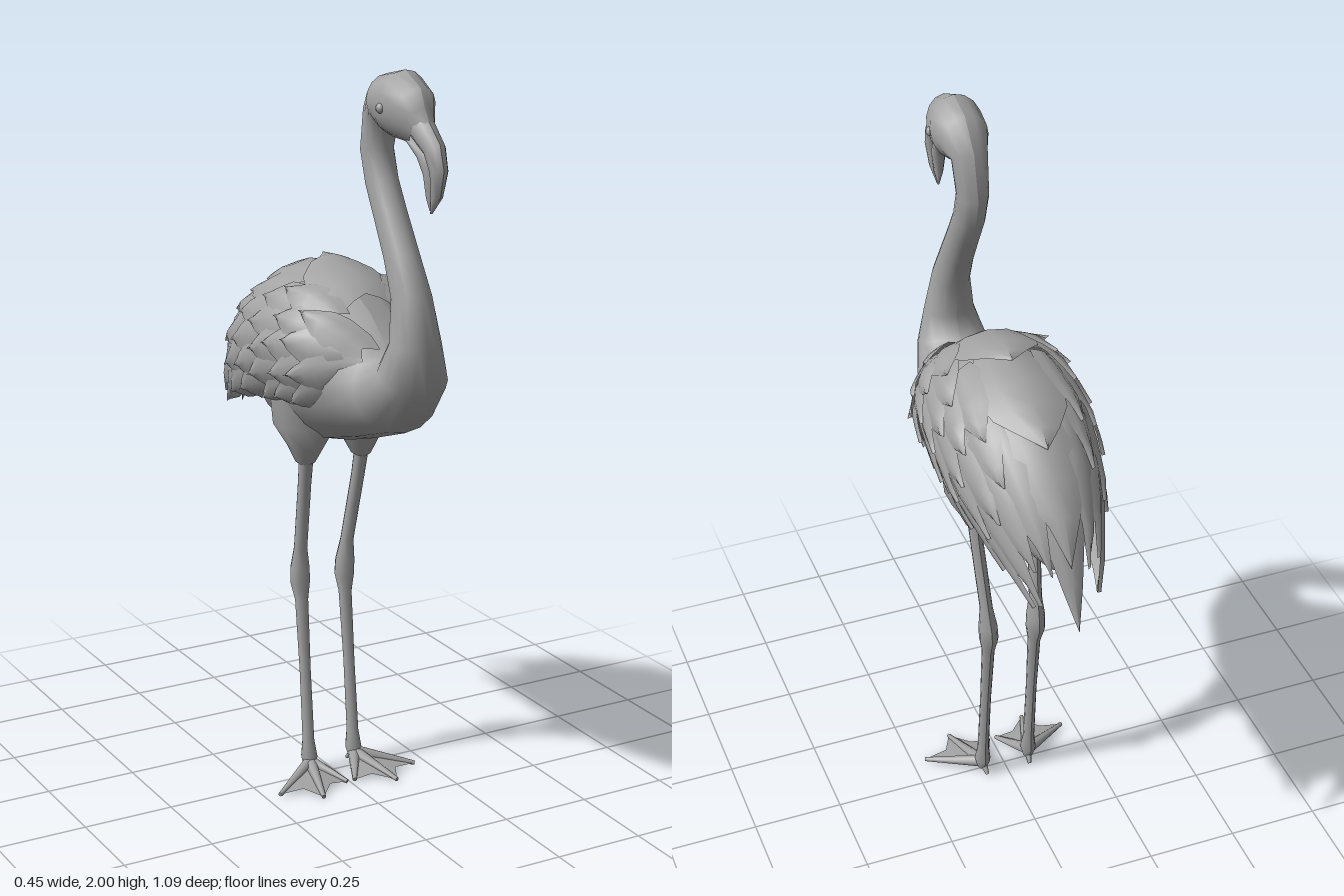
import * as THREE from 'three';

const plumage = new THREE.MeshStandardMaterial({ color: 0xa3a3a3, side: THREE.DoubleSide });
plumage.name = 'plain grey';

function add(parent, name, geometry) {
  const mesh = new THREE.Mesh(geometry, plumage);
  mesh.name = name;
  parent.add(mesh);
  return mesh;
}

// Grid of points (rows x columns) to a smooth surface
function surface(rows) {
  const n = rows[0].length, index = [];
  for (let i = 0; i < rows.length - 1; i++) {
    for (let j = 0; j < n - 1; j++) {
      const a = i * n + j, c = a + n;
      index.push(a, a + 1, c, a + 1, c + 1, c);
    }
  }
  const g = new THREE.BufferGeometry();
  g.setAttribute('position', new THREE.Float32BufferAttribute(rows.flat(2), 3));
  g.setIndex(index);
  g.computeVertexNormals();
  return g;
}

// Elliptical rings; each section is [back z, back y, front z, front y, half width, x]
function loft(sections, sides = 14) {
  return surface(sections.map(([za, ya, zb, yb, w, x = 0]) => {
    const ring = [];
    for (let j = 0; j <= sides; j++) {
      const a = (j / sides) * Math.PI * 2, c = Math.cos(a) / 2;
      ring.push([x + w * Math.sin(a), (ya + yb) / 2 + (ya - yb) * c, (za + zb) / 2 + (za - zb) * c]);
    }
    return ring;
  }));
}

// Wing envelope: [z, top y, bottom y, half width]
const envelope = [
  [0.29, 1.29, 1.19, 0.09], [0.22, 1.36, 1.10, 0.155], [0.13, 1.42, 1.05, 0.195], [0, 1.44, 1.03, 0.2],
  [-0.15, 1.41, 1.0, 0.19], [-0.3, 1.33, 0.97, 0.15], [-0.43, 1.19, 0.92, 0.09], [-0.54, 0.93, 0.86, 0.015],
];
function envelopeAt(z) {
  let i = 0;
  while (i < envelope.length - 2 && z < envelope[i + 1][0]) i++;
  const a = envelope[i], b = envelope[i + 1];
  const t = THREE.MathUtils.clamp((a[0] - z) / (a[0] - b[0]), 0, 1);
  return a.map((v, k) => v + (b[k] - v) * t);
}

// Pointed feather lying on the envelope, its tip lifted a little
const leaf = [[0, 0.6], [0.2, 0.92], [0.45, 1], [0.65, 0.85], [0.85, 0.42], [1, 0]];
function feather(z0, length, angle, drift, half, lift, side = 1) {
  return surface(leaf.map(([t, width]) => {
    const row = [];
    for (let v = -1; v <= 1; v += 0.5) {
      const z = z0 - length * t + 0.015 * Math.abs(v) * (1 - t);
      const [, top, bottom, w] = envelopeAt(z);
      const h = (top - bottom) / 2;
      const spread = Math.min((half * width) / ((w + h) / 2), 1.1);
      const a = angle + drift * t + v * spread;
      const out = lift * t + 0.01 * (1 - Math.abs(v)) - 0.004;
      row.push([side * (w + out) * Math.sin(a), (top + bottom) / 2 + (h + out) * Math.cos(a), z]);
    }
    return side > 0 ? row : row.reverse();
  }));
}

// Tapered rod between two points
function rod(a, b, ra, rb) {
  const from = new THREE.Vector3(...a), to = new THREE.Vector3(...b), d = to.clone().sub(from);
  const g = new THREE.CylinderGeometry(rb, ra, d.length(), 7);
  g.applyQuaternion(new THREE.Quaternion().setFromUnitVectors(new THREE.Vector3(0, 1, 0), d.clone().normalize()));
  const m = from.add(to).multiplyScalar(0.5);
  return g.translate(m.x, m.y, m.z);
}

function buildLeg(side) {
  const leg = new THREE.Group();
  leg.name = side > 0 ? 'leftLeg' : 'rightLeg';
  // Thigh, shank and knee: [y, z, radius, x]
  const ring = ([y, z, r, x]) => [z - r, y, z + r, y, r * 0.9, side * x];
  add(leg, 'thigh', loft([
    [1.12, -0.01, 0.11, 0.075], [1.02, -0.01, 0.095, 0.08], [0.96, 0, 0.055, 0.083],
    [0.915, 0, 0.03, 0.085], [0.9, 0, 0.008, 0.085],
  ].map(ring), 10));
  add(leg, 'shank', loft([
    [0.94, 0.005, 0.022, 0.085], [0.85, -0.012, 0.02, 0.082], [0.65, -0.055, 0.02, 0.072],
    [0.59, -0.063, 0.029, 0.07], [0.55, -0.065, 0.03, 0.069], [0.5, -0.058, 0.02, 0.068],
    [0.3, -0.037, 0.017, 0.069], [0.1, -0.018, 0.018, 0.07], [0.05, -0.013, 0.025, 0.07],
    [0.02, -0.01, 0.016, 0.07],
  ].map(ring), 9));

  // Toes and webbing
  const root = [side * 0.07, 0.036, -0.008];
  const tips = [[0.012, 0.006, 0.1], [0.115, 0.006, 0.155], [0.212, 0.006, 0.085]].map(([x, y, z]) => [side * x, y, z]);
  tips.forEach((tip) => add(leg, 'toe', rod(root, tip, 0.018, 0.006)));
  add(leg, 'hindToe', rod(root, [side * 0.065, 0.008, -0.04], 0.013, 0.005));
  const notch = (a, b) => a.map((v, k) => (v + b[k]) * 0.4 + root[k] * 0.2);
  const rim = [tips[0], notch(tips[0], tips[1]), tips[1], notch(tips[1], tips[2]), tips[2]];
  add(leg, 'web', surface([rim.map(() => root), side > 0 ? rim : rim.reverse()]));
  return leg;
}

export function createModel() {
  const model = new THREE.Group();
  model.name = 'wadingBird';

  // Head, neck, breast and belly in one flowing skin
  add(model, 'headNeckAndBody', loft([
    [0.475, 1.888, 0.41, 1.825, 0.03], [0.455, 1.92, 0.385, 1.828, 0.045], [0.435, 1.965, 0.345, 1.83, 0.063],
    [0.36, 2.0, 0.315, 1.835, 0.072], [0.275, 1.98, 0.295, 1.85, 0.066], [0.21, 1.905, 0.28, 1.86, 0.048],
    [0.18, 1.78, 0.27, 1.79, 0.042], [0.205, 1.69, 0.297, 1.72, 0.041], [0.245, 1.62, 0.337, 1.65, 0.042],
    [0.3, 1.52, 0.4, 1.55, 0.044], [0.342, 1.43, 0.458, 1.45, 0.05], [0.36, 1.33, 0.483, 1.32, 0.068],
    [0.335, 1.275, 0.48, 1.2, 0.095], [0.28, 1.28, 0.375, 1.08, 0.125], [0.2, 1.35, 0.22, 1.025, 0.155],
    [0.08, 1.41, 0.09, 0.985, 0.18], [-0.06, 1.42, -0.04, 0.955, 0.18], [-0.2, 1.36, -0.16, 0.975, 0.155],
    [-0.33, 1.26, -0.3, 1.02, 0.1], [-0.42, 1.12, -0.4, 1.03, 0.04], [-0.44, 1.06, -0.44, 1.05, 0.003],
  ], 16));

  // Bent bill with a narrower lower half
  add(model, 'upperBill', loft([
    [0.493, 1.667, 0.488, 1.667, 0.003], [0.533, 1.715, 0.497, 1.705, 0.015], [0.547, 1.78, 0.5, 1.77, 0.023],
    [0.527, 1.842, 0.475, 1.81, 0.028], [0.47, 1.893, 0.42, 1.842, 0.033], [0.44, 1.91, 0.39, 1.86, 0.034],
  ], 10));
  add(model, 'lowerBill', loft([
    [0.491, 1.674, 0.484, 1.674, 0.003], [0.502, 1.708, 0.473, 1.705, 0.012], [0.505, 1.77, 0.466, 1.757, 0.019],
    [0.481, 1.812, 0.443, 1.795, 0.023], [0.425, 1.845, 0.41, 1.822, 0.026], [0.39, 1.86, 0.38, 1.835, 0.026],
  ], 10));

  for (const side of [1, -1]) {
    const eye = add(model, 'eye', new THREE.SphereGeometry(0.013, 10, 8));
    eye.position.set(side * 0.065, 1.91, 0.355);
    model.add(buildLeg(side));

    // Overlapping wing feathers: [start z, length, first angle, last angle, count, half width]
    const wing = new THREE.Group();
    wing.name = side > 0 ? 'leftWing' : 'rightWing';
    [
      [0.28, 0.15, 0.75, 2.0, 4, 0.05], [0.21, 0.17, 0.6, 2.0, 5, 0.052], [0.13, 0.2, 0.75, 2.05, 5, 0.055],
      [0.04, 0.23, 0.6, 1.95, 5, 0.056], [-0.06, 0.26, 0.7, 1.95, 4, 0.056], [-0.16, 0.29, 0.55, 1.85, 4, 0.055],
    ].forEach(([z, length, first, last, count, half], row) => {
      for (let i = 0; i < count; i++) {
        const angle = first + ((last - first) * i) / (count - 1);
        const stagger = 0.025 * ((i + row) % 2);
        add(wing, 'wingFeather', feather(z - stagger, length, angle, 0.15, half, 0.024 - row * 0.001, side));
      }
    });
    model.add(wing);
  }

  // Broad feathers down the middle of the back
  [[0.17, 0.23, 0.12, 0.03], [0.02, 0.33, 0.12, 0.03], [-0.13, 0.35, 0.11, 0.025], [-0.22, 0.32, 0.09, 0.005]]
    .forEach(([z, length, half, lift]) => add(model, 'backFeather', feather(z, length, 0, 0, half, lift)));

  return model;
}
